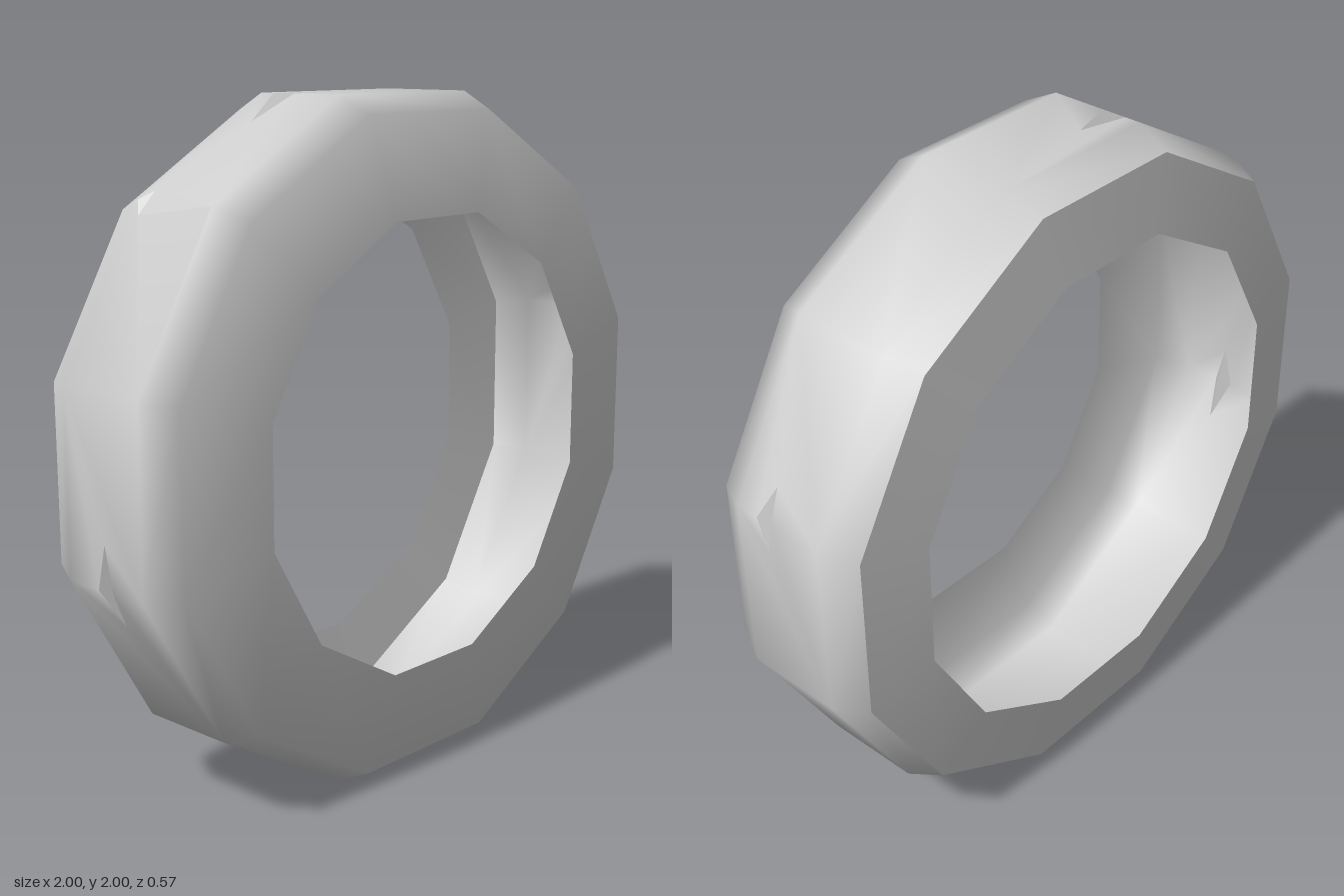
import * as THREE from 'three';
import { mergeGeometries, mergeVertices } from 'three/addons/utils/BufferGeometryUtils.js';

const SIDES = 12;
const STEP = (Math.PI * 2) / SIDES;
const HALF = Math.tan(STEP / 2); // half length of a tread facet at apothem 1
const BAND = 0.15;               // half width of the flat tread band

// V-shaped nicks on the tread ridges: ridge index (15 + 30 * ridge degrees),
// z range along the ridge, z of the deepest points, reach onto each facet
const NICKS = [
  { ridge: 0, lo: 0.02, hi: 0.075, mid: 0.04, reach: 0.1 },
  { ridge: 3, lo: -0.1, hi: -0.02, mid: -0.06, reach: 0.145 },
  { ridge: 4, lo: -0.145, hi: 0.14, mid: -0.12, reach: 0.045 },
  { ridge: 6, lo: -0.03, hi: 0.03, mid: 0, reach: 0.13 },
];

// Point on tread facet k: u runs around the ring, z across it
function onFacet(k, u, z) {
  const a = k * STEP;
  return new THREE.Vector3(Math.cos(a) - u * Math.sin(a), Math.sin(a) + u * Math.cos(a), z);
}

// Polygonal ring from [apothem, z] points, listed from back to front
function ring(profile) {
  const points = profile.map(([r, z]) => new THREE.Vector2(r / Math.cos(STEP / 2), z));
  return new THREE.LatheGeometry(points, SIDES, STEP / 2).rotateX(Math.PI / 2);
}

// Flat tread facet with the nick openings cut from its two ends
function treadFacet(k) {
  const right = NICKS.find(n => n.ridge === k);
  const left = NICKS.find(n => n.ridge === (k + SIDES - 1) % SIDES);
  const outline = [[-HALF, -BAND], [HALF, -BAND]];
  if (right) outline.push([HALF, right.lo], [HALF - right.reach, right.mid], [HALF, right.hi]);
  outline.push([HALF, BAND], [-HALF, BAND]);
  if (left) outline.push([-HALF, left.hi], [-HALF + left.reach, left.mid], [-HALF, left.lo]);
  const geometry = new THREE.ShapeGeometry(new THREE.Shape(outline.map(p => new THREE.Vector2(...p))));
  const pos = geometry.attributes.position;
  for (let i = 0; i < pos.count; i++) {
    const p = onFacet(k, pos.getX(i), pos.getY(i));
    pos.setXYZ(i, p.x, p.y, p.z);
  }
  return geometry;
}

// Two sloping walls meeting along the chord at the bottom of a nick
function nickWalls({ ridge, lo, hi, mid, reach }) {
  const a = onFacet(ridge, HALF - reach, mid);
  const c = onFacet(ridge + 1, -HALF + reach, mid);
  const b = onFacet(ridge, HALF, lo);
  const d = onFacet(ridge, HALF, hi);
  const geometry = new THREE.BufferGeometry().setFromPoints([a, b, c, a, c, d]);
  geometry.computeVertexNormals();
  return geometry;
}

export function createModel() {
  const group = new THREE.Group();
  group.name = 'tyre';
  const smooth = new THREE.MeshStandardMaterial({ color: 0xcccccc, side: THREE.DoubleSide });
  const flat = new THREE.MeshStandardMaterial({ color: 0xcccccc, side: THREE.DoubleSide, flatShading: true });

  const add = (name, geometry, material) => {
    const mesh = new THREE.Mesh(geometry, material);
    mesh.name = name;
    mesh.position.y = 1;
    group.add(mesh);
  };

  // Hollow shell: tread, shoulders and front sidewall share smooth normals
  const parts = [
    ring([[1, BAND], [0.95, 0.255], [0.66, 0.285]]),
    ring([[0.95, -0.255], [1, -BAND]]),
  ];
  for (let k = 0; k < SIDES; k++) parts.push(treadFacet(k));
  for (const part of parts) {
    part.deleteAttribute('normal');
    part.deleteAttribute('uv');
  }
  const shell = mergeVertices(mergeGeometries(parts), 1e-3);
  shell.computeVertexNormals();
  add('treadAndFrontSidewall', shell, smooth);

  // Back sidewall, set off by a sharp edge and with a wider opening
  add('backSidewall', ring([[0.735, -0.285], [0.95, -0.255]]), smooth);

  add('treadNicks', mergeGeometries(NICKS.map(nickWalls)), flat);
  return group;
}
